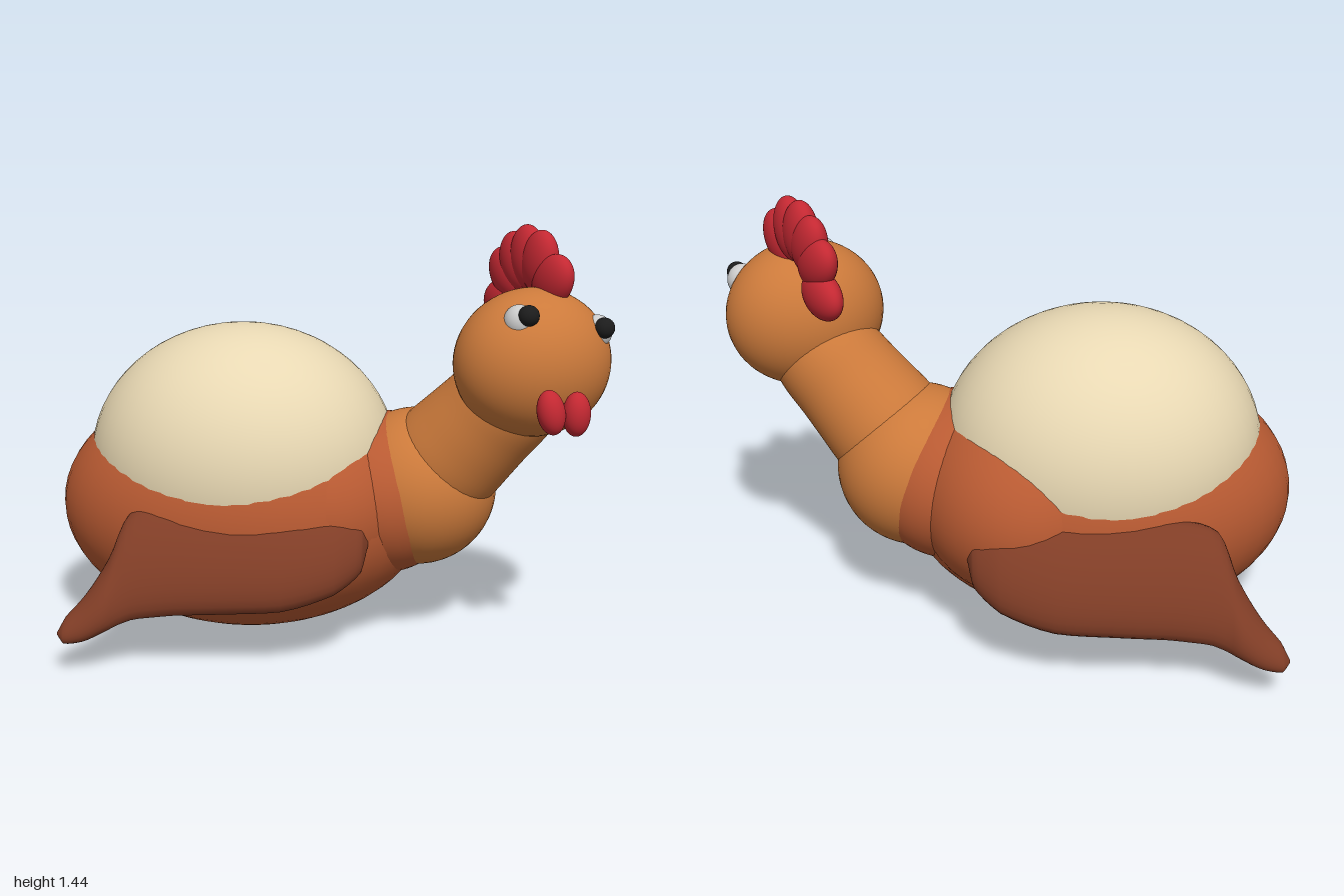
import * as THREE from 'three';

const V = (x, y, z) => new THREE.Vector3(x, y, z);
const UP = V(0, 1, 0);
const mat = (color) => new THREE.MeshStandardMaterial({ color });
const rust = mat(0xb85a32), cream = mat(0xe8d8b3), orange = mat(0xcc7a3b);
const brown = mat(0x803d26), red = mat(0xc42832), white = mat(0xdddddd), black = mat(0x1c1c1c);

function ellipsoid(name, material, pos, radii) {
  const mesh = new THREE.Mesh(new THREE.SphereGeometry(1, 48, 32), material);
  mesh.name = name;
  mesh.position.copy(pos);
  mesh.scale.copy(radii);
  return mesh;
}

// Wing: elliptical sections [along, height, out, halfHeight, halfThickness], smoothed by a curve
function wingGeometry() {
  const sections = [
    [0.435, 0.40, 0.37, 0.005, 0.005], [0.415, 0.395, 0.38, 0.08, 0.055],
    [0.33, 0.385, 0.42, 0.13, 0.08], [0.16, 0.37, 0.46, 0.16, 0.09],
    [-0.05, 0.365, 0.475, 0.165, 0.09], [-0.24, 0.36, 0.485, 0.17, 0.085],
    [-0.36, 0.335, 0.505, 0.165, 0.075], [-0.42, 0.255, 0.55, 0.11, 0.07],
    [-0.49, 0.185, 0.585, 0.07, 0.055], [-0.55, 0.15, 0.61, 0.04, 0.035],
    [-0.575, 0.14, 0.62, 0.003, 0.003],
  ];
  const centre = new THREE.CatmullRomCurve3(sections.map((s) => V(s[0], s[1], s[2])));
  const size = new THREE.CatmullRomCurve3(sections.map((s) => V(s[3], s[4], 0)));
  const rings = 40, sides = 28, pos = [], idx = [];
  for (let i = 0; i <= rings; i++) {
    const c = centre.getPoint(i / rings), r = size.getPoint(i / rings);
    for (let j = 0; j < sides; j++) {
      const a = (j / sides) * Math.PI * 2;
      const up = Math.cos(a) * Math.max(r.x, 0.003);
      // the lower edge leans away from the body
      pos.push(c.x, c.y + up, c.z - 0.45 * up + Math.sin(a) * Math.max(r.y, 0.003));
      if (i < rings) {
        const p = i * sides + j, q = i * sides + (j + 1) % sides;
        idx.push(p, p + sides, q, q, p + sides, q + sides);
      }
    }
  }
  const g = new THREE.BufferGeometry();
  g.setAttribute('position', new THREE.Float32BufferAttribute(pos, 3));
  g.setIndex(idx);
  g.computeVertexNormals();
  return g;
}

export function createModel() {
  const model = new THREE.Group();
  model.name = 'hen';

  // Body, pale back and wings share a turned frame
  const torso = new THREE.Group();
  torso.name = 'torso';
  torso.position.set(-0.255, 0, -0.065);
  torso.rotation.y = THREE.MathUtils.degToRad(21);
  torso.add(ellipsoid('body', rust, V(0, 0.44, 0), V(0.655, 0.44, 0.48)));
  torso.add(ellipsoid('shoulders', rust, V(0.25, 0.465, -0.03), V(0.375, 0.355, 0.455)));
  torso.add(ellipsoid('paleBack', cream, V(-0.01, 0.6, 0), V(0.54, 0.478, 0.465)));
  const wingShape = wingGeometry();
  const wingMaterial = brown.clone();
  wingMaterial.side = THREE.DoubleSide;
  for (const side of [1, -1]) {
    const wing = new THREE.Mesh(wingShape, wingMaterial);
    wing.name = side > 0 ? 'rightWing' : 'leftWing';
    wing.position.set(side > 0 ? 0.015 : 0.01, 0, -0.025);
    wing.scale.z = side;
    torso.add(wing);
  }
  model.add(torso);

  // Collar, chest and neck
  const chest = V(0.32, 0.52, -0.25);
  model.add(ellipsoid('collar', rust, V(0.2, 0.49, -0.22), V(0.287, 0.285, 0.315)));
  model.add(ellipsoid('chest', orange, chest, V(0.275, 0.275, 0.28)));
  const profile = new THREE.SplineCurve([
    [0.2, 0.08], [0.203, 0.18], [0.195, 0.28], [0.187, 0.38], [0.182, 0.48], [0.165, 0.58],
  ].map((p) => new THREE.Vector2(...p))).getPoints(20);
  const neck = new THREE.Mesh(new THREE.LatheGeometry(profile, 48), orange);
  neck.name = 'neck';
  neck.position.copy(chest);
  neck.quaternion.setFromUnitVectors(UP, V(0.31, 0.33, 0.01).normalize());
  model.add(neck);

  // Head, a little longer across the face
  const head = ellipsoid('head', orange, V(0.737, 1.005, -0.21), V(0.268, 0.248, 0.222));
  head.rotation.y = Math.PI / 4;
  model.add(head);

  // Eyes: white ball with a pupil in front
  const eyes = [
    ['rightEye', V(0.738, 1.165, -0.06), V(0.778, 1.19, -0.038)],
    ['leftEye', V(0.935, 1.115, -0.268), V(0.966, 1.132, -0.245)],
  ];
  for (const [name, ball, pupil] of eyes) {
    model.add(ellipsoid(name, white, ball, V(0.05, 0.055, 0.05)));
    model.add(ellipsoid(name + 'Pupil', black, pupil, V(0.034, 0.034, 0.034)));
  }

  // Comb: a fan of overlapping lobes in one slanted vertical plane
  const onComb = (x, y) => V(x, y, -0.34 + (x - 0.67) * 0.8);
  const root = onComb(0.69, 1.17);
  const lobes = [[0.475, 1.155], [0.505, 1.32], [0.575, 1.40], [0.655, 1.44], [0.745, 1.43], [0.85, 1.34]];
  lobes.forEach(([x, y], i) => {
    const tip = onComb(x, y), dir = tip.clone().sub(root);
    const half = dir.length() * 0.4;
    dir.normalize();
    const lobe = ellipsoid('combLobe' + (i + 1), red, tip.clone().addScaledVector(dir, -half),
      V(0.08, half, 0.052));
    const across = dir.clone().cross(V(-0.625, 0, 0.78)).normalize();
    lobe.quaternion.setFromRotationMatrix(
      new THREE.Matrix4().makeBasis(across, dir, across.clone().cross(dir)));
    model.add(lobe);
  });

  // Wattles
  [[0.875, 0.893, 0.0, 0.2], [0.938, 0.88, -0.068, 0]].forEach(([x, y, z, tilt], i) => {
    const wattle = ellipsoid(i ? 'leftWattle' : 'rightWattle', red, V(x, y, z), V(0.045, 0.073, 0.048));
    wattle.rotation.z = tilt;
    model.add(wattle);
  });

  return model;
}
